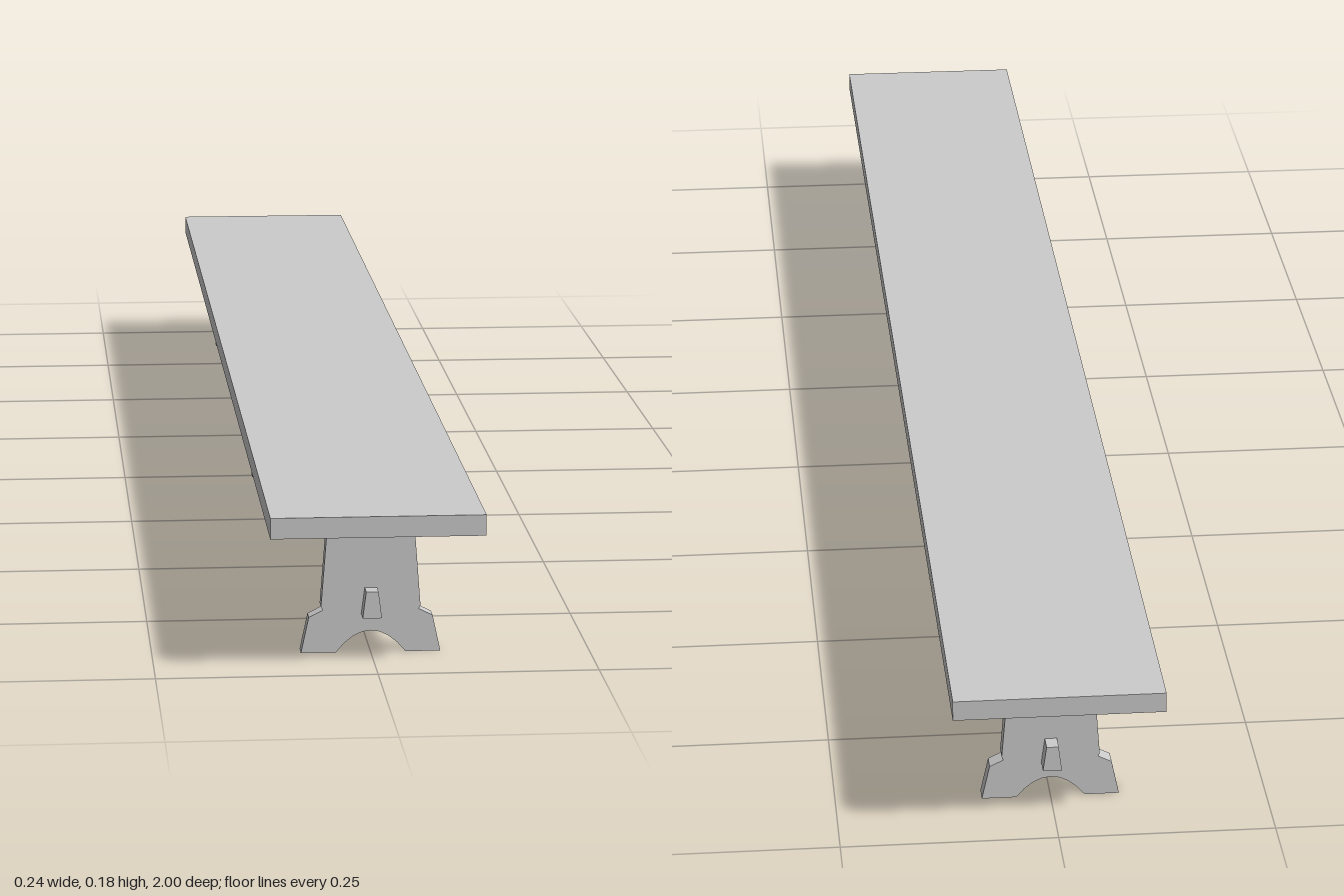
import * as THREE from 'three';

const material = new THREE.MeshStandardMaterial({ color: 0xcccccc, flatShading: true });

// Extrudes a shape along z, centred on z = 0
function extrude(shape, depth) {
  const geometry = new THREE.ExtrudeGeometry(shape, { depth, bevelEnabled: false, curveSegments: 8 });
  return geometry.translate(0, 0, -depth / 2);
}

function addPart(group, name, geometry, y = 0, z = 0) {
  const mesh = new THREE.Mesh(geometry, material);
  mesh.name = name;
  mesh.position.set(0, y, z);
  group.add(mesh);
}

// Trestle outline: tapered post, notched shoulders, splayed feet, arched underside
function trestleShape() {
  const side = [[0.08, 0], [0.071, 0.042], [0.055, 0.05], [0.057, 0.054], [0.049, 0.158]];
  const shape = new THREE.Shape();
  shape.moveTo(0.04, 0);
  side.forEach(([x, y]) => shape.lineTo(x, y));
  side.slice().reverse().forEach(([x, y]) => shape.lineTo(-x, y));
  shape.lineTo(-0.04, 0);
  shape.bezierCurveTo(-0.014, 0.034, 0.014, 0.034, 0.04, 0);
  return shape;
}

export function createModel() {
  const group = new THREE.Group();
  group.name = 'trestleBench';

  // Seat plank
  addPart(group, 'seat', new THREE.BoxGeometry(0.242, 0.024, 2), 0.17);

  // Three trestle legs
  const leg = extrude(trestleShape(), 0.02);
  [['frontLeg', 0.894], ['middleLeg', 0], ['backLeg', -0.894]]
    .forEach(([name, z]) => addPart(group, name, leg, 0, z));

  // Tapered stretcher passing through all the legs
  const bar = new THREE.Shape([[-0.011, 0.045], [0.011, 0.045], [0.007, 0.076], [-0.007, 0.076]]
    .map(([x, y]) => new THREE.Vector2(x, y)));
  addPart(group, 'stretcher', extrude(bar, 1.85));

  return group;
}
